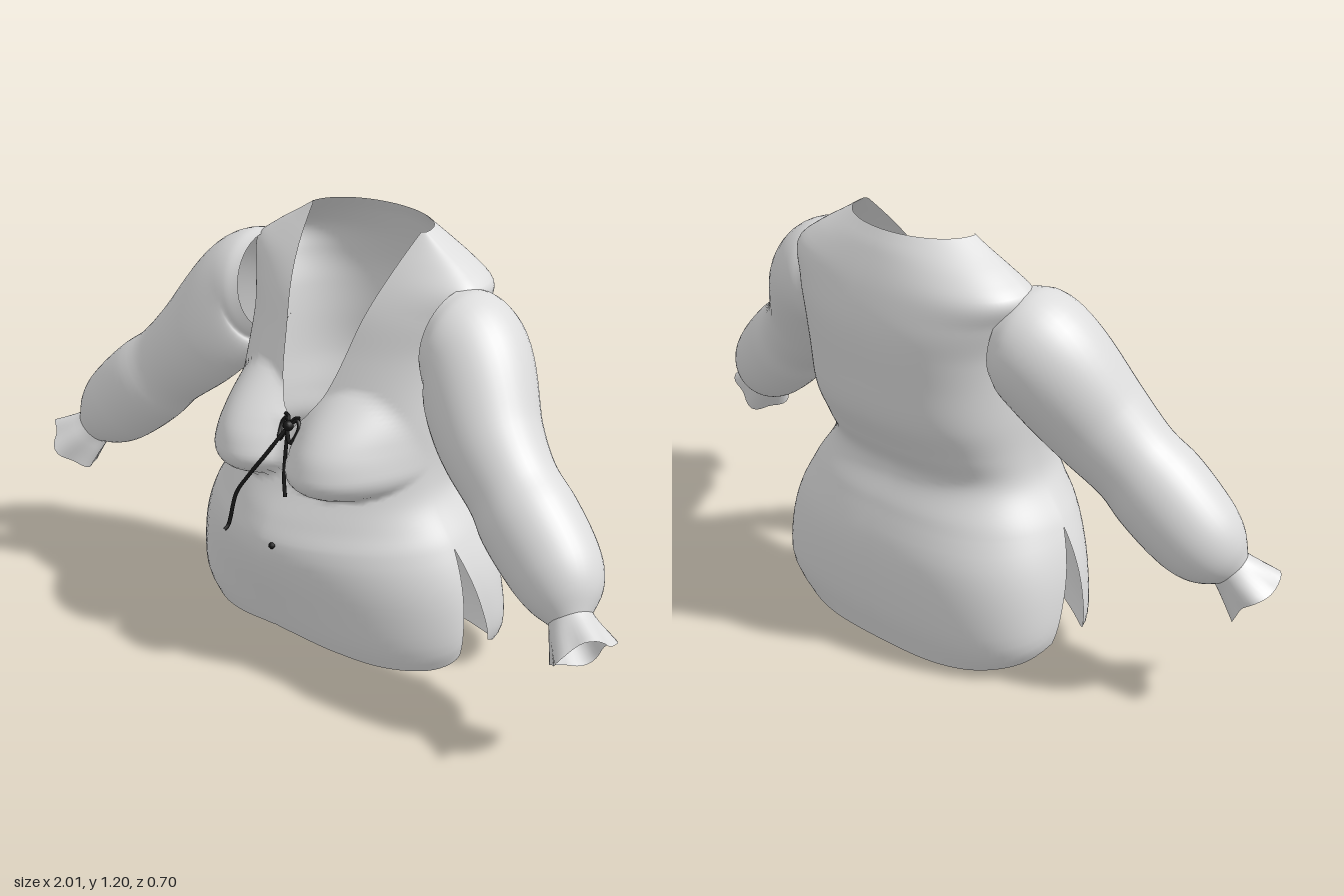
import * as THREE from 'three';
import { mergeVertices } from 'three/addons/utils/BufferGeometryUtils.js';

// Smooth interpolation through [key, value] pairs
function curve(pts) {
  const slope = (i) => {
    const a = pts[Math.max(i - 1, 0)], b = pts[Math.min(i + 1, pts.length - 1)];
    return (b[1] - a[1]) / (b[0] - a[0]);
  };
  return (k) => {
    if (k <= pts[0][0]) return pts[0][1];
    if (k >= pts[pts.length - 1][0]) return pts[pts.length - 1][1];
    let i = 0;
    while (k > pts[i + 1][0]) i++;
    const d = pts[i + 1][0] - pts[i][0], t = (k - pts[i][0]) / d, t2 = t * t, t3 = t2 * t;
    return pts[i][1] * (2 * t3 - 3 * t2 + 1) + pts[i + 1][1] * (3 * t2 - 2 * t3)
      + d * (slope(i) * (t3 - 2 * t2 + t) + slope(i + 1) * (t3 - t2));
  };
}

// Joins grids of points into one smooth welded surface
function surface(grids) {
  const pos = [], index = [];
  for (const { rows, flip } of grids) {
    const base = pos.length / 3, n = rows[0].length;
    rows.forEach((row) => row.forEach((p) => pos.push(p.x, p.y, p.z)));
    for (let i = 0; i < rows.length - 1; i++) for (let j = 0; j < n - 1; j++) {
      const a = base + i * n + j, b = a + 1, c = b + n, d = a + n;
      if (flip) index.push(a, c, b, a, d, c);
      else index.push(a, b, c, a, c, d);
    }
  }
  const g = new THREE.BufferGeometry();
  g.setAttribute('position', new THREE.Float32BufferAttribute(pos, 3));
  g.setIndex(index);
  const welded = mergeVertices(g, 1e-4);
  welded.computeVertexNormals();
  return welded;
}

// Body measurements by height; the powers set how square each half section is
const SLIT = 0.39, TOP = 1.195;
const frontPower = curve([[0, 1.65], [0.42, 1.65], [0.53, 2], [0.65, 2.2], [1.05, 2.3], [TOP, 2]]);
const backPower = curve([[0, 2.5], [1.05, 2.5], [TOP, 2]]);
const width = curve([[0, 0.38], [0.05, 0.44], [0.1, 0.468], [0.2, 0.47], [0.3, 0.452], [0.4, 0.41], [0.5, 0.345],
  [0.57, 0.33], [0.7, 0.33], [0.9, 0.335], [1, 0.36], [1.07, 0.38], [1.12, 0.32], [1.16, 0.255], [TOP, 0.2]]);
const front = curve([[0, 0.21], [0.1, 0.255], [0.2, 0.285], [0.3, 0.31], [0.38, 0.315], [0.45, 0.285], [0.53, 0.235],
  [0.6, 0.2], [0.68, 0.18], [0.77, 0.145], [0.88, 0.1], [1, 0.05], [1.1, -0.015], [1.16, -0.06], [TOP, -0.09]]);
const back = curve([[0, -0.29], [0.12, -0.32], [0.3, -0.32], [0.42, -0.28], [0.52, -0.24], [0.6, -0.28], [0.7, -0.33],
  [0.82, -0.345], [0.95, -0.35], [1.05, -0.325], [1.15, -0.28], [TOP, -0.25]]);
const middle = curve([[0, 0], [0.5, 0], [0.7, -0.03], [0.9, -0.08], [1.1, -0.12], [TOP, -0.12]]);
const neck = curve([[0.68, 0], [0.73, 0.045], [0.8, 0.083], [0.97, 0.127], [1.1, 0.165], [TOP, 0.19]]);
const frontHem = curve([[0, 0.11], [0.2, 0.1], [0.45, 0.075], [0.8, 0.048], [1.2, 0.048], [1.45, 0.07], [1.571, 0.095]]);
const backHem = curve([[1.57, 0.09], [1.75, 0.05], [2.2, 0.012], [2.6, 0], [3.142, 0]]);

function bodyPoint(y, a, isFront, side) {
  const w = width(y), e = 2 / (isFront ? frontPower : backPower)(y), open = Math.max(0, SLIT - y) / 0.29;
  const mid = middle(y) + open * (isFront ? 0.03 : -0.09);
  const x = w * Math.pow(Math.max(0, Math.sin(a)), e);
  let z = mid + ((isFront ? front(y) : back(y)) - mid) * Math.pow(Math.abs(Math.cos(a)), e);
  if (isFront) { // gathered bust, full below and sloping above
    const upper = y > 0.605;
    const r2 = ((x - 0.165) / 0.162) ** 2 + ((y - 0.605) / (upper ? 0.2 : 0.078)) ** 2;
    if (r2 < 1) z += 0.118 * Math.pow(1 - r2, upper ? 0.75 + Math.min(0.35, (y - 0.605) * 5) : 0.75);
  }
  return new THREE.Vector3(side * x, y, z);
}

function bodyPanel(isFront, side) {
  const rows = [], cols = 26, hemRows = 12, upRows = 70;
  for (let i = 0; i <= hemRows + upRows; i++) {
    const row = [];
    const yTop = SLIT + (TOP - SLIT) * Math.max(0, i - hemRows) / upRows;
    const start = isFront && yTop > 0.68
      ? Math.asin(Math.min(1, Math.pow(Math.max(0, neck(yTop)) / width(yTop), frontPower(yTop) / 2))) : 0;
    for (let j = 0; j <= cols; j++) {
      const a = isFront ? start + (Math.PI / 2 - start) * j / cols : Math.PI / 2 * (1 + j / cols);
      const hem = isFront ? frontHem(a) : backHem(a);
      const y = i < hemRows ? hem + (SLIT - hem) * i / hemRows : yTop;
      row.push(bodyPoint(y, a, isFront, side));
    }
    rows.push(row);
  }
  return { rows, flip: side < 0 };
}

// Tube with varying radius along a path, its first ring facing startDir; wave ruffles the far end
function sleeveTube({ path, startDir, radius, side, steps, wave = 0 }) {
  const line = new THREE.CatmullRomCurve3(path.map((p) => new THREE.Vector3(...p)));
  const rows = [], sides = 40;
  for (let i = 0; i <= steps; i++) {
    const t = i / steps, c = line.getPoint(t);
    const dir = new THREE.Vector3(...startDir).lerp(line.getTangent(t), Math.min(1, t / 0.4)).normalize();
    const u = new THREE.Vector3(0, 0, 1).cross(dir).normalize();
    const v = new THREE.Vector3().crossVectors(dir, u);
    const row = [];
    for (let j = 0; j <= sides; j++) {
      const a = j / sides * Math.PI * 2;
      const r = radius(t) * (1 + wave * t * Math.sin(5 * a));
      const p = c.clone().addScaledVector(u, r * Math.cos(a)).addScaledVector(v, r * Math.sin(a));
      p.addScaledVector(dir, wave * t * 0.12 * Math.cos(3 * a + 1));
      p.x *= side;
      row.push(p);
    }
    rows.push(row);
  }
  return surface([{ rows, flip: side < 0 }]);
}

export function createModel() {
  const group = new THREE.Group();
  group.name = 'blouse';
  const cloth = new THREE.MeshStandardMaterial({ color: 0xdcdcdc, side: THREE.DoubleSide });
  cloth.name = 'pale cloth';
  const cord = new THREE.MeshStandardMaterial({ color: 0x161616 });
  cord.name = 'black cord';
  const add = (name, geometry, material) => {
    const mesh = new THREE.Mesh(geometry, material);
    mesh.name = name;
    group.add(mesh);
    return mesh;
  };

  // Body with open neck and side slits
  add('body', surface([[true, 1], [true, -1], [false, 1], [false, -1]].map(([f, s]) => bodyPanel(f, s))), cloth);

  // Sleeves set into the armholes, gathered at elbow and wrist, with ruffled cuffs
  const sleeveRadius = curve([[0, 0.138], [0.1, 0.156], [0.25, 0.157], [0.42, 0.138], [0.54, 0.124], [0.62, 0.131],
    [0.74, 0.127], [0.85, 0.113], [0.93, 0.09], [1, 0.055]]);
  const cuffRadius = curve([[0, 0.055], [0.3, 0.062], [1, 0.086]]);
  for (const [side, label] of [[1, 'left'], [-1, 'right']]) {
    add(label + 'Sleeve', sleeveTube({ path: [[0.33, 0.945, -0.085], [0.4, 0.91, -0.072], [0.52, 0.745, 0],
      [0.67, 0.602, 0.045], [0.8, 0.483, 0.075], [0.88, 0.4, 0.12]],
    startDir: [1, -0.12, 0.05], radius: sleeveRadius, side, steps: 48 }), cloth);
    add(label + 'Cuff', sleeveTube({ path: [[0.868, 0.408, 0.114], [0.9, 0.373, 0.13], [0.938, 0.334, 0.146]],
      startDir: [0.7, -0.7, 0.3], radius: cuffRadius, side, steps: 8, wave: 0.09 }), cloth);
  }

  // Drawstring: two tails, a small bow and a knot
  const string = (name, pts, r = 0.0055) => add(name, new THREE.TubeGeometry(
    new THREE.CatmullRomCurve3(pts.map((p) => new THREE.Vector3(...p))), 32, r, 6), cord);
  string('rightTail', [[0, 0.69, 0.2], [-0.03, 0.62, 0.25], [-0.07, 0.55, 0.285], [-0.095, 0.5, 0.305],
    [-0.1, 0.41, 0.335], [-0.1, 0.403, 0.35]]);
  string('leftTail', [[0, 0.69, 0.2], [0.012, 0.62, 0.225], [0.025, 0.56, 0.245], [0.042, 0.515, 0.26]]);
  for (const side of [1, -1]) {
    string('bowLoop', [[0, 0.69, 0.2], [side * 0.018, 0.705, 0.185], [side * 0.03, 0.69, 0.19],
      [side * 0.02, 0.65, 0.215], [0, 0.68, 0.205]]);
    string('neckCord', [[0, 0.69, 0.2], [side * 0.012, 0.71, 0.185], [side * 0.028, 0.712, 0.18]], 0.005);
  }
  add('knot', new THREE.SphereGeometry(0.015, 10, 8), cord).position.set(0, 0.69, 0.2);
  add('cordTip', new THREE.SphereGeometry(0.009, 8, 6), cord).position.set(0.042, 0.39, 0.314);
  return group;
}
